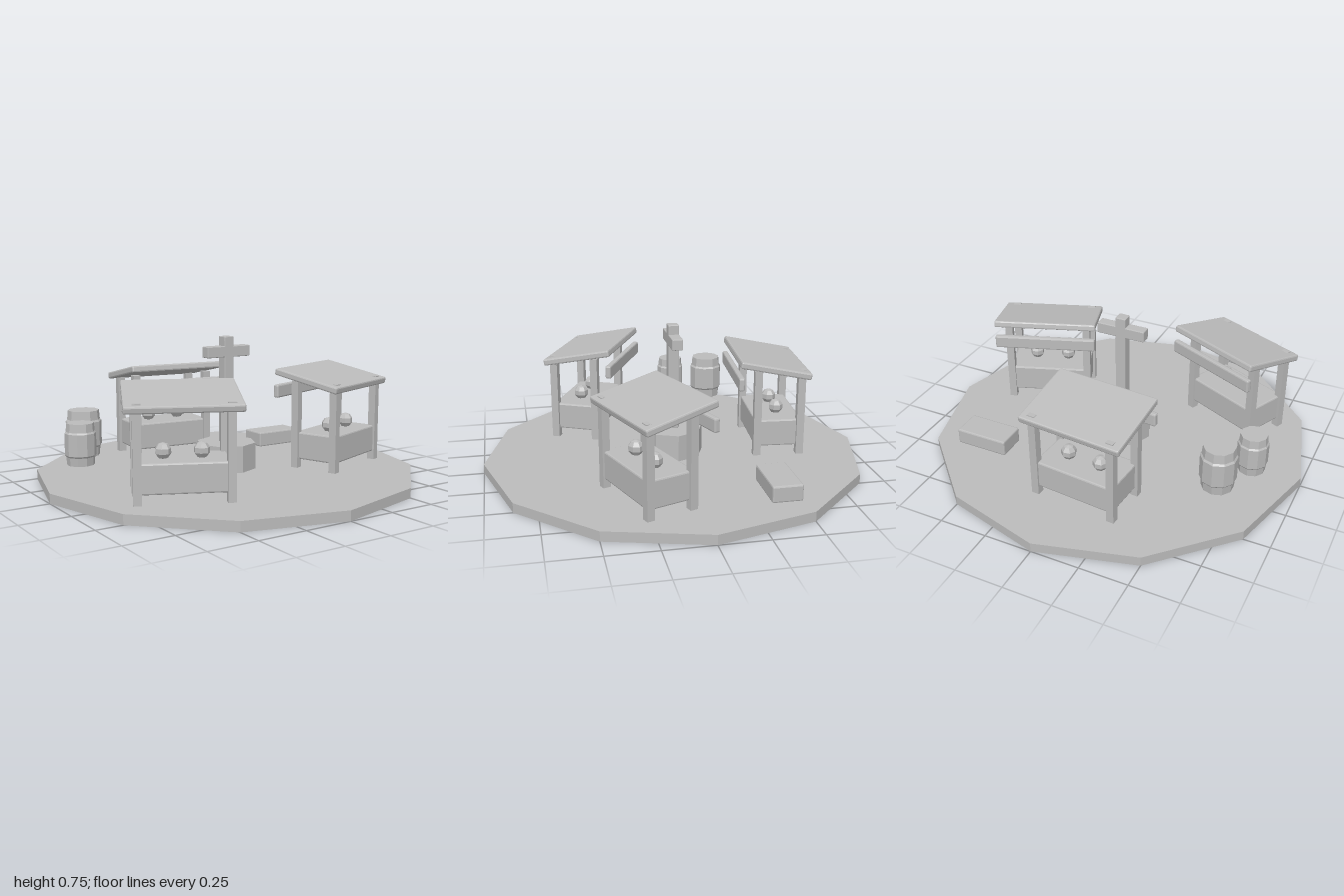
import * as THREE from 'three';
import { RoundedBoxGeometry } from 'three/addons/geometries/RoundedBoxGeometry.js';

const stone = new THREE.MeshStandardMaterial({ color: 0xbbbbbb });
stone.name = 'plainGrey';

// Adds a faceted mesh to a parent
function add(parent, name, geometry, x, y, z) {
  const flat = geometry.index ? geometry.toNonIndexed() : geometry;
  flat.computeVertexNormals();
  const mesh = new THREE.Mesh(flat, stone);
  mesh.name = name;
  mesh.position.set(x, y, z);
  parent.add(mesh);
  return mesh;
}

const box = (w, h, d) => new THREE.BoxGeometry(w, h, d);
const bevelBox = (w, h, d, r = 0.008) => new RoundedBoxGeometry(w, h, d, 1, r);

// Market stall; its open front with the raised roof edge faces local +z
function createStall(x, z, degrees) {
  const stall = new THREE.Group();
  stall.name = 'stall';
  stall.position.set(x, 0, z);
  stall.rotation.y = THREE.MathUtils.degToRad(degrees);

  add(stall, 'counter', bevelBox(0.44, 0.145, 0.25), 0, 0.168, 0);
  for (const sx of [-1, 1]) {
    for (const sz of [-1, 1]) {
      add(stall, 'post', box(0.04, 0.464, 0.04), sx * 0.215, 0.282, sz * 0.115);
    }
    add(stall, 'goods', new THREE.SphereGeometry(0.04, 7, 5), sx * 0.09, 0.275, -0.01);
  }
  add(stall, 'signBoard', bevelBox(0.545, 0.07, 0.03), 0, 0.456, 0.21);
  const roof = add(stall, 'roof', bevelBox(0.55, 0.036, 0.38), 0, 0.524, 0.03);
  roof.rotation.x = -0.2;
  return stall;
}

// Ten-sided barrel with a wider middle
function createBarrel(x, z, radius, height) {
  const profile = [
    [0, 0], [0.87, 0], [0.92, 0.2], [1, 0.24], [1, 0.76], [0.92, 0.8], [0.87, 1], [0, 1],
  ].map(([r, h]) => new THREE.Vector2(r * radius, h * height));
  const barrel = new THREE.Group();
  barrel.name = 'barrel';
  add(barrel, 'barrelBody', new THREE.LatheGeometry(profile, 10), x, 0.138, z);
  return barrel;
}

export function createModel() {
  const model = new THREE.Group();
  model.name = 'marketSquare';

  // Ground slab
  add(model, 'ground', new THREE.CylinderGeometry(1, 1, 0.05, 12), 0, 0.025, 0);

  // Central monument
  add(model, 'plinth', new THREE.CylinderGeometry(0.158, 0.158, 0.14, 8), 0, 0.12, 0);
  add(model, 'monumentPost', bevelBox(0.056, 0.56, 0.056, 0.004), 0, 0.47, 0);
  add(model, 'monumentCrossbar', bevelBox(0.26, 0.058, 0.056, 0.004), 0, 0.671, 0);

  // Stalls facing the centre
  model.add(createStall(-0.067, -0.56, -5));
  model.add(createStall(0.557, 0.234, 200));
  model.add(createStall(-0.505, 0.397, 155));

  // Barrels and crate
  model.add(createBarrel(-0.667, -0.335, 0.092, 0.237));
  model.add(createBarrel(-0.775, -0.137, 0.078, 0.21));
  add(model, 'crate', bevelBox(0.285, 0.085, 0.153), 0.6, 0.09, -0.405);

  return model;
}
